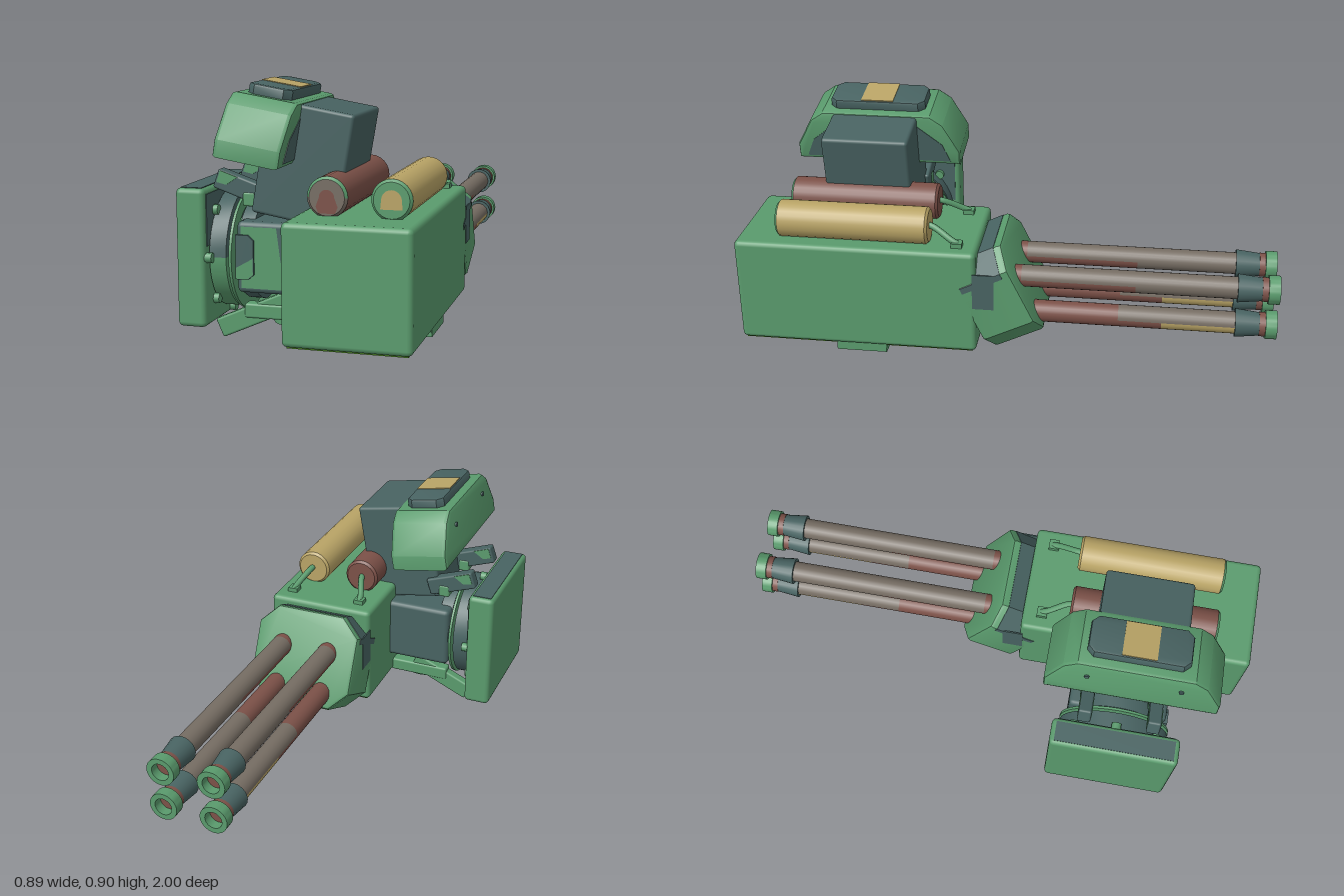
import * as THREE from 'three';
import { toCreasedNormals } from 'three/addons/utils/BufferGeometryUtils.js';
import { RoundedBoxGeometry } from 'three/addons/geometries/RoundedBoxGeometry.js';

const colours = { green: 0x5a9b6d, teal: 0x486362, taupe: 0x766d63, red: 0x7c5148, gold: 0xb9a466, olive: 0x4f8a24 };

export function createModel() {
  const model = new THREE.Group();
  const M = {};
  for (const [name, color] of Object.entries(colours)) {
    M[name] = new THREE.MeshStandardMaterial({ color });
    M[name].name = name;
  }

  function add(name, geo, mat, x = 0, y = 0, z = 0, parent = model) {
    const mesh = new THREE.Mesh(geo, mat);
    mesh.name = name;
    mesh.position.set(x, y, z);
    parent.add(mesh);
    return mesh;
  }
  function group(name, x, y, z) {
    const g = new THREE.Group();
    g.name = name;
    g.position.set(x, y, z);
    model.add(g);
    return g;
  }
  const box = (w, h, d, r = 0) => (r ? new RoundedBoxGeometry(w, h, d, 2, r) : new THREE.BoxGeometry(w, h, d));
  // cylinders along a chosen axis
  const cyl = (r1, r2, len, axis = 'y', sides = 20) => {
    const g = new THREE.CylinderGeometry(r1, r2, len, sides);
    if (axis === 'z') g.rotateX(Math.PI / 2);
    if (axis === 'x') g.rotateZ(-Math.PI / 2);
    return g;
  };
  // half of a tube wall along z, start 0.5 pi for the top and -0.5 pi for the underside
  const halfTube = (r1, r2, len, start) =>
    new THREE.CylinderGeometry(r1, r2, len, 12, 1, true, start, Math.PI).rotateX(Math.PI / 2);
  const TOP = Math.PI / 2, UNDER = -Math.PI / 2;
  // turned ring with rectangular section, or an arc of one
  const ring = (inner, outer, len, axis, start = 0, sweep = Math.PI * 2) => {
    const h = len / 2;
    const pts = [[inner, -h], [outer, -h], [outer, h], [inner, h], [inner, -h]].map(p => new THREE.Vector2(...p));
    const g = toCreasedNormals(new THREE.LatheGeometry(pts, 32, start, sweep), 0.6);
    return axis === 'z' ? g.rotateX(Math.PI / 2) : g.rotateZ(-Math.PI / 2);
  };
  const outlineShape = points => new THREE.Shape(points.map(p => new THREE.Vector2(...p)));
  // bevelled outline extruded and centred on z
  const slab = (points, depth, bevel) => {
    const g = new THREE.ExtrudeGeometry(outlineShape(points), {
      depth: depth - 2 * bevel, bevelEnabled: bevel > 0, bevelThickness: bevel,
      bevelSize: bevel, bevelOffset: -bevel, bevelSegments: 2,
    });
    g.translate(0, 0, -depth / 2 + bevel);
    return toCreasedNormals(g, 0.5);
  };
  const octagon = (w, h, c) => [
    [-w + c, -h], [w - c, -h], [w, -h + c], [w, h - c], [w - c, h], [-w + c, h], [-w, h - c], [-w, -h + c],
  ];

  // main housing and its underside
  add('housing', box(0.43, 0.405, 0.9, 0.018), M.green, 0.225, 0.2825, 0.55);
  add('housingUnderside', box(0.4, 0.006, 0.87), M.olive, 0.225, 0.079, 0.55);

  // vent below the housing
  const vent = group('vent', 0.2275, 0.065, 0.54);
  add('ventPlate', box(0.39, 0.02, 0.19), M.teal, 0, 0.008, 0, vent);
  for (let i = 0; i < 6; i++) add('ventSlat', box(0.37, 0.022, 0.016), M.green, 0, -0.01, -0.07 + i * 0.028, vent);
  for (const s of [-1, 1]) {
    add('ventSide', box(0.012, 0.035, 0.19), M.green, s * 0.192, -0.002, 0, vent);
    add('ventEnd', box(0.39, 0.035, 0.012), M.green, 0, -0.002, s * 0.09, vent);
    add('ventStud', cyl(0.01, 0.01, 0.02), M.green, s * 0.155, -0.023, 0, vent);
  }

  // tilted gun shroud with a painted rear band
  const shroud = group('gunShroud', 0.225, 0.281, 0.028);
  shroud.rotation.x = 0.456;
  add('shroudBody', slab(octagon(0.215, 0.187, 0.075), 0.212, 0.014), M.green, 0, 0, 0, shroud);
  const band = [[-0.217, 0.09], [0.217, 0.09], [0.217, 0.113], [0.141, 0.189], [-0.141, 0.189], [-0.217, 0.113]];
  add('shroudBand', slab(band, 0.165, 0), M.teal, 0, 0, 0.007, shroud);
  add('shroudUnderside', box(0.27, 0.006, 0.18), M.olive, 0, -0.186, 0, shroud);
  for (const s of [-1, 1]) add('shroudSidePatch', box(0.005, 0.14, 0.08), M.teal, 0.225 + s * 0.2145, 0.335, 0.072);

  // four barrels with flared muzzles; undersides painted differently
  for (const x of [0.13, 0.325]) for (const y of [0.21, 0.355]) {
    const gun = group('barrel', x, y, 0);
    const lower = y < 0.3;
    const tube = (name, from, to, mat, half) =>
      add(name, halfTube(0.041, 0.041, from - to, half), mat, 0, 0, (from + to) / 2, gun);
    const topSplit = lower ? -0.42 : -0.06;
    const underSplit = lower ? -0.58 : -0.48;
    tube('barrelRootTop', 0, topSplit, M.red, TOP);
    tube('barrelTop', topSplit, -0.86, M.taupe, TOP);
    tube('barrelRootUnder', 0, underSplit, M.red, UNDER);
    tube('barrelUnder', underSplit, -0.86, lower ? M.gold : M.taupe, UNDER);
    add('muzzleCollar', cyl(0.053, 0.043, 0.09, 'z'), M.teal, 0, 0, -0.893, gun);
    add('muzzleNeck', cyl(0.045, 0.045, 0.028, 'z'), M.red, 0, 0, -0.95, gun);
    add('muzzleRing', ring(0.033, 0.053, 0.042, 'z'), M.green, 0, 0, -0.979, gun);
  }

  // twin tanks with bevelled ends and hoses
  for (const [x, mat, end, side] of [[0.12, M.red, M.taupe, -1], [0.335, M.gold, M.green, 1]]) {
    const tank = group('tank', x, 0.545, 0.565);
    add('tankBody', cyl(0.069, 0.069, 0.55, 'z', 24), mat, 0, 0, 0, tank);
    add('tankRimTop', halfTube(0.06, 0.069, 0.009, TOP), M.green, 0, 0, 0.2795, tank);
    add('tankRimUnder', halfTube(0.06, 0.069, 0.009, UNDER), end, 0, 0, 0.2795, tank);
    add('tankBackRim', cyl(0.069, 0.06, 0.009, 'z', 24), mat, 0, 0, -0.2795, tank);
    add('tankEnd', cyl(0.06, 0.06, 0.009, 'z', 24), end, 0, 0, 0.2795, tank);
    const patch = new THREE.Shape();
    patch.moveTo(-0.037, -0.03);
    if (side < 0) patch.lineTo(-0.028, -0.052).lineTo(0.028, -0.052);
    patch.lineTo(0.037, -0.03);
    patch.absarc(0, 0, side < 0 ? 0.026 : 0.034, 0, Math.PI);
    add('tankEndPatch', new THREE.ShapeGeometry(patch), mat, 0, 0, 0.2855, tank);
    const path = new THREE.CatmullRomCurve3([
      new THREE.Vector3(0, 0.005, -0.26), new THREE.Vector3(side * 0.006, 0, -0.295),
      new THREE.Vector3(side * 0.033, -0.04, -0.37), new THREE.Vector3(side * 0.038, -0.055, -0.4),
    ]);
    add('hose', new THREE.TubeGeometry(path, 12, 0.012, 8), M.green, 0, 0, 0, tank);
    add('hoseFoot', box(0.04, 0.02, 0.04), M.green, side * 0.038, -0.053, -0.39, tank);
  }

  // vertical pivot and shoulder block with painted front
  add('pivotShaft', cyl(0.08, 0.08, 0.42), M.red, -0.085, 0.27, 0.525);
  add('pivotCap', cyl(0.087, 0.087, 0.028), M.green, -0.085, 0.053, 0.525);
  add('shoulderBlock', box(0.28, 0.25, 0.38, 0.018), M.teal, -0.105, 0.3, 0.525);
  const paint = [[-0.228, 0.193], [0, 0.193], [-0.085, 0.29], [-0.1, 0.408], [-0.228, 0.408]];
  add('shoulderPaint', new THREE.ShapeGeometry(outlineShape(paint)), M.green, 0, 0, 0.716);
  const panel = [[-0.245, 0.225], [-0.2, 0.225], [-0.18, 0.242], [-0.18, 0.362], [-0.2, 0.38], [-0.245, 0.38]];
  add('shoulderPanel', slab(panel, 0.02, 0), M.teal, 0, 0, 0.715);
  const panelPaint = [[-0.243, 0.227], [-0.201, 0.227], [-0.182, 0.243], [-0.182, 0.3], [-0.243, 0.265]];
  add('panelPaint', new THREE.ShapeGeometry(outlineShape(panelPaint)), M.green, 0, 0, 0.7265);

  // side plate, mounting rings and bolts
  add('sidePlate', box(0.105, 0.485, 0.485, 0.018), M.green, -0.3925, 0.2975, 0.5275);
  add('sidePlateTop', box(0.075, 0.006, 0.45), M.teal, -0.3925, 0.539, 0.5275);
  add('sidePlateInnerPaint', box(0.006, 0.18, 0.445), M.teal, -0.34, 0.43, 0.5275);
  // ring arcs: angle 0 faces the front, a quarter turn points down
  add('outerRingFront', ring(0.16, 0.212, 0.06, 'x', 0, 1.3), M.green, -0.305, 0.3, 0.525);
  add('outerRing', ring(0.16, 0.212, 0.06, 'x', 1.3, Math.PI * 2 - 1.3), M.teal, -0.305, 0.3, 0.525);
  add('thinRing', ring(0.17, 0.215, 0.01, 'x'), M.green, -0.26, 0.295, 0.525);
  add('innerRing', ring(0.12, 0.182, 0.05, 'x'), M.teal, -0.22, 0.3, 0.525);
  add('hub', cyl(0.1, 0.1, 0.12, 'x', 24), M.green, -0.29, 0.3, 0.525);
  for (let i = 0; i < 8; i++) {
    const a = i * Math.PI / 4;
    add('ringBolt', cyl(0.018, 0.018, 0.025, 'x', 10), M.green, -0.332, 0.3 + 0.222 * Math.sin(a), 0.525 + 0.222 * Math.cos(a));
  }

  // paired clamp arms and braces
  for (const z of [0.4, 0.66]) {
    const arm = group('upperArm', -0.235, 0.535, z);
    arm.rotation.z = -0.33;
    add('upperArmBeam', box(0.2, 0.07, 0.05, 0.008), M.teal, 0, 0, 0, arm);
    const tip = [[-0.092, -0.012], [-0.055, -0.008], [-0.025, 0.031], [-0.092, 0.031]];
    add('upperArmPaint', slab(tip, 0.053, 0), M.green, 0, 0, 0, arm);
    add('upperArmFoot', box(0.045, 0.05, 0.055, 0.008), M.green, -0.208, 0.498, z);
    add('lowerArm', box(0.265, 0.07, 0.04, 0.008), M.green, -0.205, 0.087, z).rotation.z = 0.42;
    add('lowerBar', box(0.25, 0.052, 0.05, 0.008), M.green, -0.105, 0.105, z);
  }

  // tilted sensor head
  const head = group('sensorHead', -0.005, 0.63, 0.555);
  head.rotation.z = -0.17;
  add('headBlock', box(0.305, 0.395, 0.33, 0.012), M.teal, 0, 0, 0, head);

  // winged hood across the head
  const hood = group('hood', -0.135, 0.752, 0.55);
  hood.rotation.z = -0.165;
  const outline = [[-0.322, -0.105], [0.322, -0.105], [0.322, -0.045], [0.26, 0.07], [0.21, 0.105],
    [-0.21, 0.105], [-0.26, 0.07], [-0.322, -0.045]];
  add('hoodShell', slab(outline, 0.235, 0.015).rotateY(Math.PI / 2), M.green, 0, 0, 0, hood);
  for (const s of [-1, 1]) {
    const wing = [[0.15, -0.088], [0.285, -0.088], [0.255, -0.015], [0.15, 0.07]].map(([a, b]) => [a * s, b]);
    add('hoodInnerPaint', slab(wing, 0.006, 0).rotateY(Math.PI / 2), M.teal, 0.1165, 0, 0, hood);
    add('hoodStud', cyl(0.009, 0.009, 0.01, 'x', 10), M.teal, -0.119, 0.03, s * 0.17, hood);
  }
  add('hoodCap', slab(octagon(0.077, 0.185, 0.025), 0.055, 0.01).rotateX(-Math.PI / 2), M.teal, 0, 0.113, 0, hood);
  add('capStripe', box(0.14, 0.006, 0.125), M.gold, 0, 0.14, 0, hood);

  return model;
}
